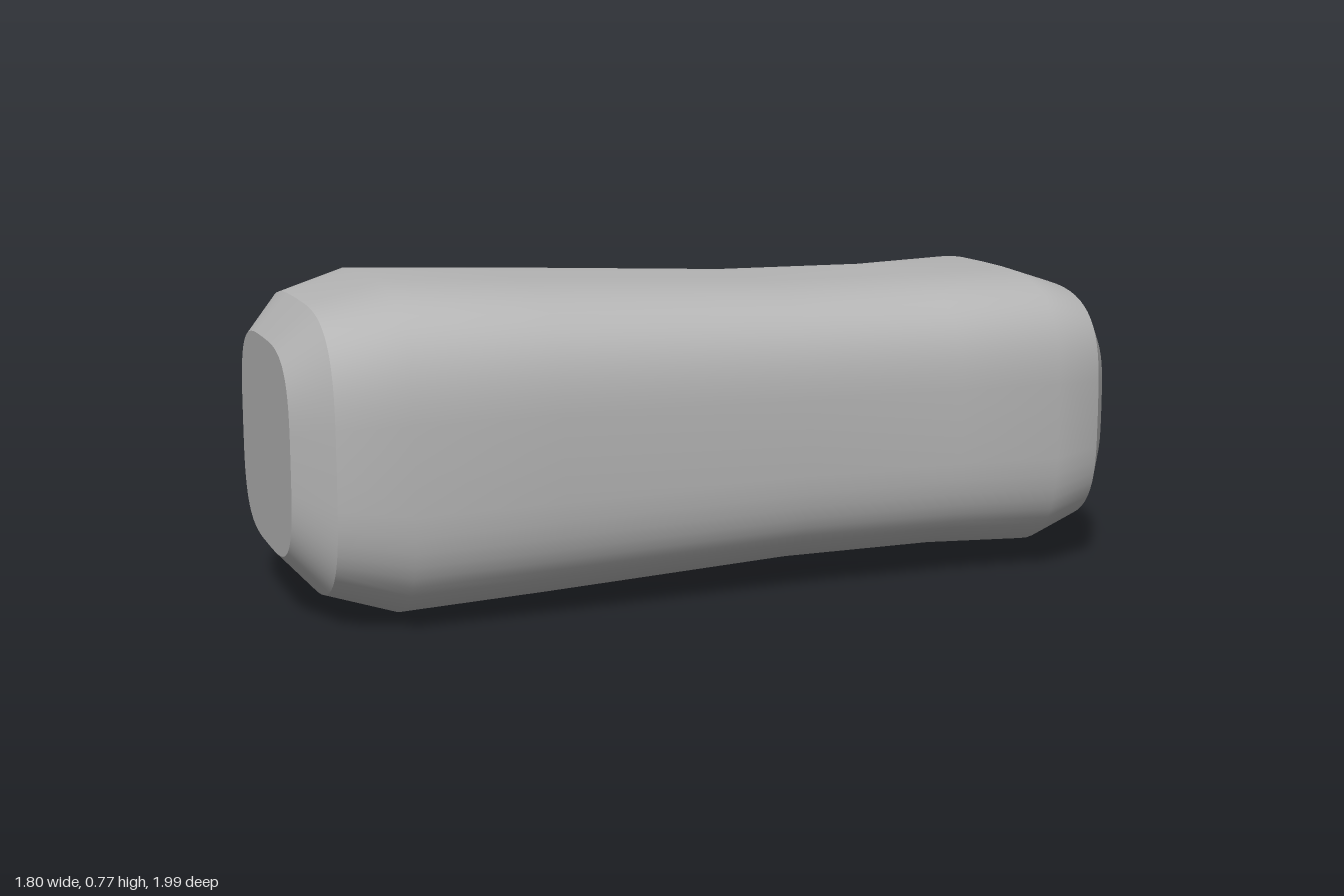
import * as THREE from 'three';

const SEGMENTS = 64;
const ASPECT = 0.826; // height of a section relative to its width
const CORNER = 3.5; // superellipse exponent of the rounded-square section

// Stations from front to back along the block: [position, half width]
const STATIONS = [
  [1.026, 0.3], [0.945, 0.405], [0.783, 0.464], [0.435, 0.447], [-0.185, 0.412],
  [-0.58, 0.409], [-0.84, 0.421], [-0.98, 0.367], [-1.047, 0.271],
];

// Rounded-square outline, counter-clockwise seen from the front
function section(halfWidth) {
  const round = (v) => Math.sign(v) * Math.abs(v) ** (2 / CORNER);
  return Array.from({ length: SEGMENTS }, (_, j) => {
    const a = (j / SEGMENTS) * Math.PI * 2;
    return new THREE.Vector2(round(Math.cos(a)) * halfWidth, round(Math.sin(a)) * halfWidth * ASPECT);
  });
}

// Smooth skin over a run of stations
function loft(stations) {
  const positions = [];
  const index = [];
  for (const [z, w] of stations) for (const p of section(w)) positions.push(p.x, p.y, z);
  for (let i = 0; i < stations.length - 1; i++) {
    for (let j = 0; j < SEGMENTS; j++) {
      const k = (j + 1) % SEGMENTS;
      const a = i * SEGMENTS + j, b = i * SEGMENTS + k;
      index.push(a, a + SEGMENTS, b, b, a + SEGMENTS, b + SEGMENTS);
    }
  }
  const geometry = new THREE.BufferGeometry();
  geometry.setAttribute('position', new THREE.Float32BufferAttribute(positions, 3));
  geometry.setIndex(index);
  geometry.computeVertexNormals();
  return geometry;
}

// Flat end face
function cap([z, w], facesBack) {
  const geometry = new THREE.ShapeGeometry(new THREE.Shape(section(w)));
  if (facesBack) geometry.rotateY(Math.PI);
  return geometry.translate(0, 0, z);
}

export function createModel() {
  const grey = new THREE.MeshStandardMaterial({ color: 0xb4b4b4 });
  grey.name = 'grey';
  const block = new THREE.Group();
  block.name = 'block';
  const add = (name, geometry) => {
    const mesh = new THREE.Mesh(geometry, grey);
    mesh.name = name;
    block.add(mesh);
  };

  // Waisted body, with crisp bevels and flat faces at both ends
  const last = STATIONS.length - 1;
  add('body', loft(STATIONS.slice(1, last)));
  add('frontBevel', loft(STATIONS.slice(0, 2)));
  add('backBevel', loft(STATIONS.slice(last - 1)));
  add('frontFace', cap(STATIONS[0], false));
  add('backFace', cap(STATIONS[last], true));

  // The block lies diagonally
  block.rotation.y = -0.665;
  block.position.y = 0.384;

  const model = new THREE.Group();
  model.name = 'model';
  model.add(block);
  return model;
}
